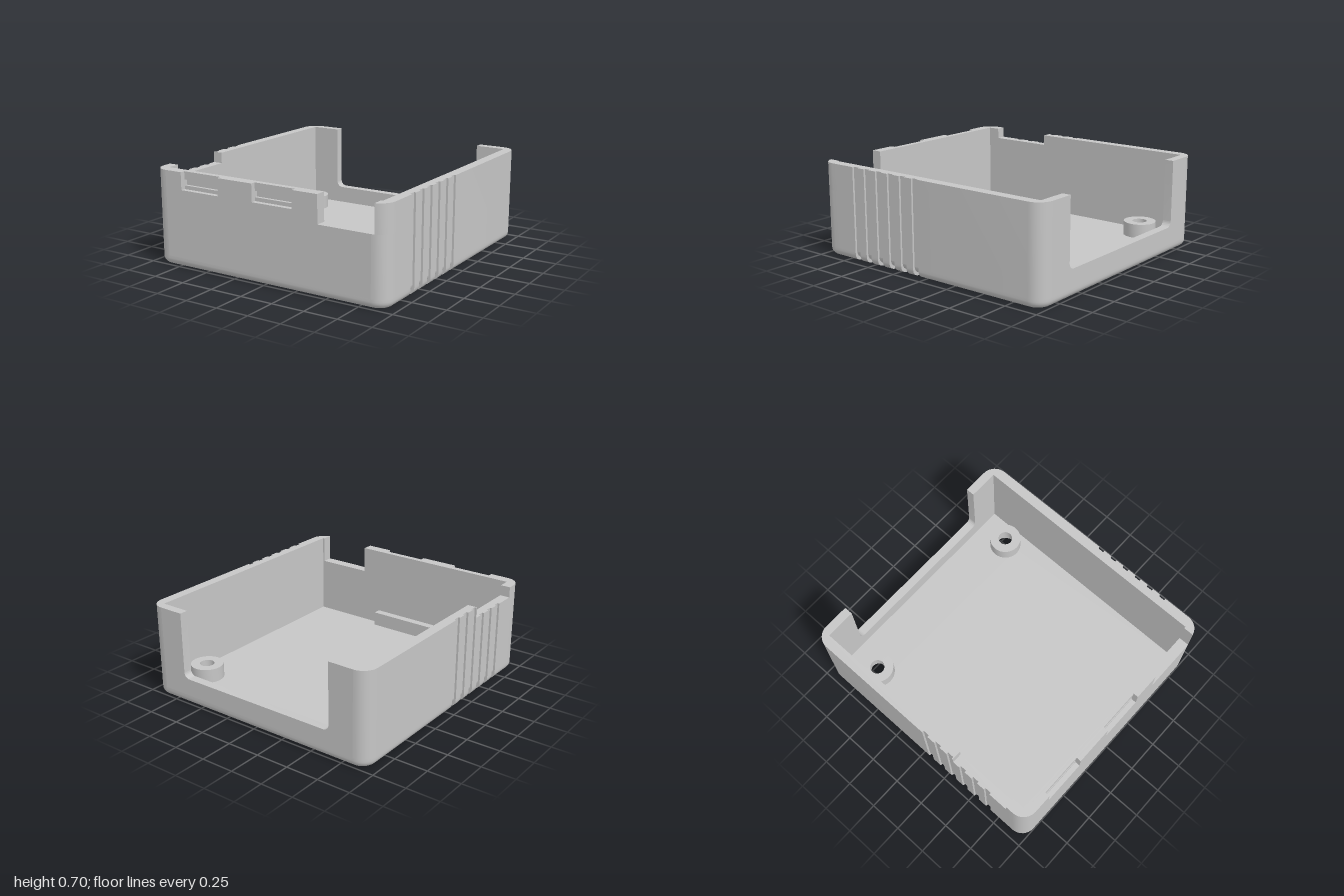
import * as THREE from 'three';
import { toCreasedNormals } from 'three/addons/utils/BufferGeometryUtils.js';

const W = 0.95, D = 1, H = 0.698;          // half width, half depth, height
const R = 0.11, r = 0.05;                  // corner radius, bottom rounding
const GX = 0.015, GY = 0.02;               // groove depth in the sides and underside
const IX = 0.875, BACK = -0.935, FRONT = 0.92, FLOOR = 0.07;
const SIDE_CUT = [0.34, 0.83];             // notch in the top of the right wall
const NOTCH_Y = 0.497;                     // foot of the cable notch in the front
const SCREWS = [-0.73, 0.73], SCREW_Z = -0.686;

export function createModel() {
  const group = new THREE.Group();
  const grey = new THREE.MeshStandardMaterial({ color: 0xc6c6c6, side: THREE.DoubleSide });
  grey.name = 'light grey plastic';
  const add = (name, geometry) => {
    const mesh = new THREE.Mesh(toCreasedNormals(geometry, 0.6), grey);
    mesh.name = name;
    group.add(mesh);
    return mesh;
  };
  const toShape = (pts) => new THREE.Shape(pts.map(([x, y]) => new THREE.Vector2(x, y)));
  const extrude = (shape, depth) =>
    new THREE.ExtrudeGeometry(shape, { depth, bevelEnabled: false, curveSegments: 10 });

  // Plan outline of the +x half, back to front; g marks points inside a groove
  const half = [];
  const arc = (cz, a0) => {
    for (let i = 0; i <= 8; i++) {
      const a = a0 + (i / 8) * Math.PI / 2, nx = Math.cos(a), nz = Math.sin(a);
      half.push({ x: W - R + R * nx, z: cz + R * nz, nx, nz, g: 0 });
    }
  };
  const side = (z, g) => half.push({ x: W - GX * g, z, nx: 1, nz: 0, g });
  arc(-D + R, -Math.PI / 2);
  for (let i = 0; i < 6; i++) {
    const z = 0.052 + i * 0.115;
    side(z, 0); side(z, 1); side(z + 0.05, 1); side(z + 0.05, 0);
    if (i === 2) side(SIDE_CUT[0], 0);
  }
  side(SIDE_CUT[1], 0);
  arc(D - R, 0);

  // Rounded tray bottom: rings from the wall foot down to the underside
  const outline = [
    ...half.map((p) => ({ ...p, s: 1 })),
    ...half.map((p) => ({ ...p, s: -1 })).reverse(),
  ];
  const at = (p, k) => {                   // k = 0 is the wall foot, 1..7 the rounding
    if (k === 0) return [p.s * p.x, FLOOR, p.z];
    const a = ((k - 1) / 6) * Math.PI / 2, inset = r * (1 - Math.cos(a));
    return [p.s * (p.x - p.nx * inset), r - r * Math.sin(a) + p.g * GY, p.z - p.nz * inset];
  };
  const verts = [];
  const quad = (a, b, c, e) => verts.push(...a, ...b, ...c, ...a, ...c, ...e);
  outline.forEach((p, i) => {
    const q = outline[(i + 1) % outline.length];
    for (let k = 0; k < 7; k++) quad(at(p, k), at(q, k), at(q, k + 1), at(p, k + 1));
  });
  // Underside strips across the grooved part
  for (let i = 9; i < half.length - 1; i++) {
    const p = half[i], q = half[i + 1];
    quad(at({ ...p, s: 1 }, 7), at({ ...q, s: 1 }, 7), at({ ...q, s: -1 }, 7), at({ ...p, s: -1 }, 7));
  }
  const tray = new THREE.BufferGeometry();
  tray.setAttribute('position', new THREE.Float32BufferAttribute(verts, 3));
  add('roundedBottom', tray);

  // Underside behind the grooves, and the inner floor, both with screw holes
  const holed = (pts, holeZ, radius) => {
    const shape = toShape(pts);
    for (const x of SCREWS) {
      const hole = new THREE.Path();
      hole.absarc(x, holeZ, radius, 0, Math.PI * 2, true);
      shape.holes.push(hole);
    }
    return new THREE.ShapeGeometry(shape, 24);
  };
  const backEdge = half.slice(0, 10).map((p) => at({ ...p, s: 1 }, 7));
  const backPts = [
    ...backEdge.map((v) => [v[0], v[2]]),
    ...backEdge.map((v) => [-v[0], v[2]]).reverse(),
  ];
  add('underside', holed(backPts, SCREW_Z, 0.09).rotateX(Math.PI / 2));
  const floor = holed([[-IX, -FRONT], [IX, -FRONT], [IX, -BACK], [-IX, -BACK]], -SCREW_Z, 0.1);
  add('floor', floor.rotateX(-Math.PI / 2).translate(0, FLOOR, 0));

  // Side walls and corners: slices of the plan outline raised upward
  const wall = (name, s, z0, z1, y0, y1, xMin = 0) => {
    const pts = half
      .filter((p) => p.z >= z0 - 1e-6 && p.z <= z1 + 1e-6 && p.x >= xMin)
      .map((p) => [p.x, p.z]);
    if (z1 >= D) pts.push([pts.at(-1)[0], FRONT], [IX, FRONT]);
    else pts.push([IX, z1]);
    if (z0 <= -D) pts.push([IX, BACK], [W - R, BACK]);
    else pts.push([IX, z0]);
    const g = extrude(toShape(pts.map(([x, z]) => [s * x, -z])), y1 - y0);
    add(name, g.rotateX(-Math.PI / 2).translate(0, y0, 0));
  };
  wall('leftWall', 1, -D, SIDE_CUT[1], FLOOR, H);
  wall('leftFrontCornerLower', 1, SIDE_CUT[1], D, FLOOR, NOTCH_Y);
  wall('leftFrontCornerUpper', 1, SIDE_CUT[1], D, NOTCH_Y, H, 0.86);
  wall('rightWallBack', -1, -D, SIDE_CUT[0], FLOOR, H);
  wall('rightWallNotched', -1, SIDE_CUT[0], SIDE_CUT[1], FLOOR, H - 0.08);
  wall('rightWallFront', -1, SIDE_CUT[1], D, FLOOR, H);

  // Back wall with a wide opening and rounded lower corners
  const e = W - R, o = 0.648, sill = 0.2, f = 0.045;
  const back = new THREE.Shape();
  back.moveTo(-e, FLOOR);
  back.lineTo(e, FLOOR);
  back.lineTo(e, H);
  back.lineTo(o, H);
  back.lineTo(o, sill + f);
  back.absarc(o - f, sill + f, f, 0, -Math.PI / 2, true);
  back.lineTo(-o + f, sill);
  back.absarc(-o + f, sill + f, f, -Math.PI / 2, -Math.PI, true);
  back.lineTo(-o, H);
  back.lineTo(-e, H);
  add('backWall', extrude(back, D + BACK).translate(0, 0, -D));

  // Front wall in three layers: cable notch, latch grooves, latch recesses
  const latches = [[-0.7, -0.375], [-0.085, 0.24]], low = 0.57;
  const frontLayer = (name, z0, z1, recessed, grooved) => {
    const pts = [[-e, FLOOR], [e, FLOOR], [e, NOTCH_Y], [0.44, NOTCH_Y], [0.44, H]];
    if (recessed) {
      for (const [a, b] of [...latches].reverse()) pts.push([b, H], [b, low], [a, low], [a, H]);
    }
    pts.push([-e, H]);
    const shape = toShape(pts);
    if (grooved) {
      for (const [a, b] of latches) {
        shape.holes.push(toShape([[a, 0.597], [a, 0.64], [b, 0.64], [b, 0.597]]));
      }
    }
    add(name, extrude(shape, z1 - z0).translate(0, 0, z0));
  };
  frontLayer('frontWallInner', FRONT, 0.94, false, false);
  frontLayer('frontWallGrooves', 0.94, 0.963, false, true);
  frontLayer('frontWallOuter', 0.963, D, true, false);

  // Low rib inside the front wall
  add('innerRib', new THREE.BoxGeometry(0.925, 0.11, 0.06).translate(-0.175, FLOOR + 0.055, 0.89));

  // Screw bosses with a stepped bore open at the underside
  const profile = [[0.122, FLOOR], [0.122, 0.175], [0.054, 0.175], [0.054, 0.1], [0.09, 0.1], [0.09, 0]]
    .map(([x, y]) => new THREE.Vector2(x, y));
  for (const x of SCREWS) {
    const boss = new THREE.LatheGeometry(profile, 32);
    add('screwBoss', boss).position.set(x, 0, SCREW_Z);
  }
  return group;
}
